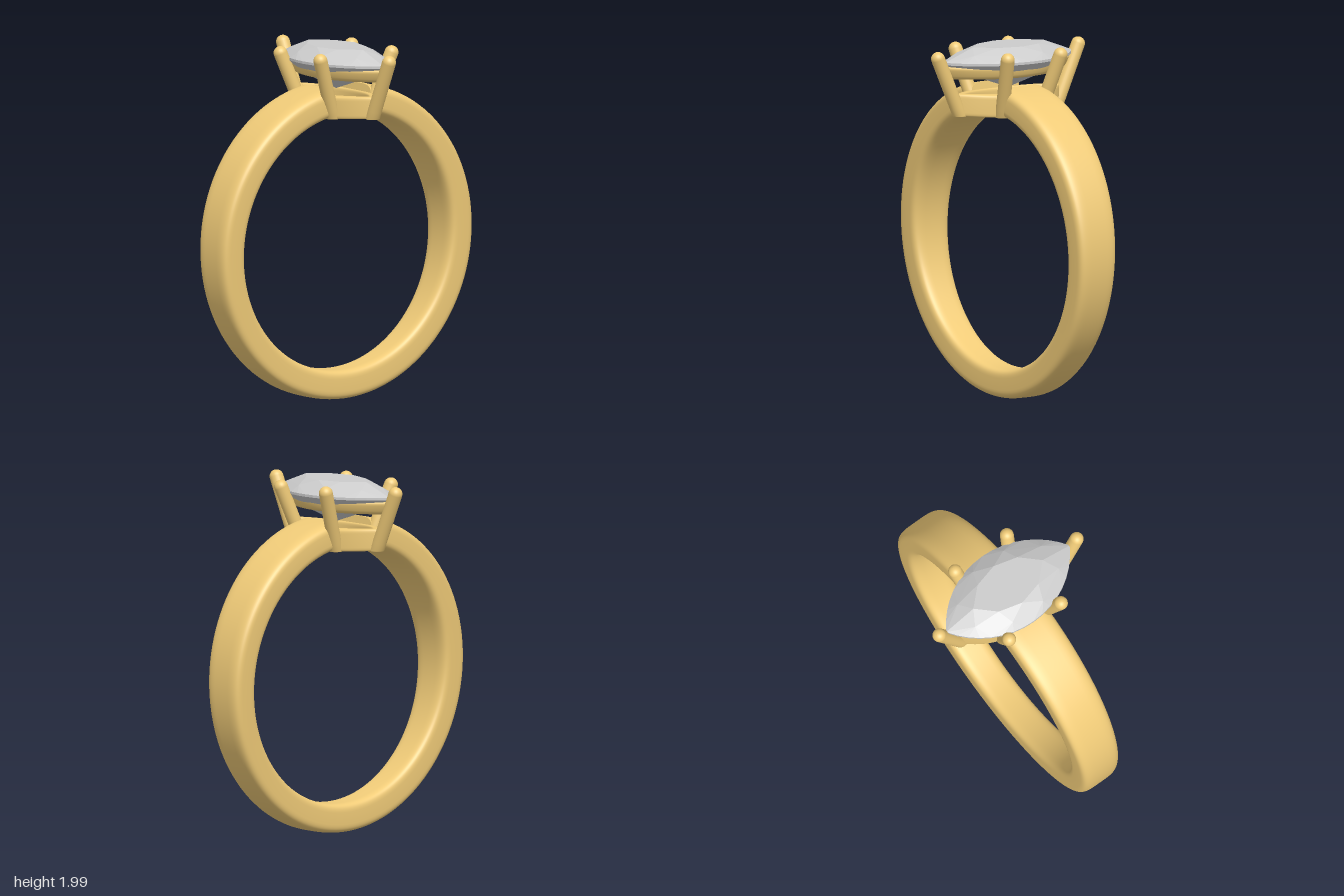
import * as THREE from 'three';
import { ConvexGeometry } from 'three/addons/geometries/ConvexGeometry.js';

const CY = 0.898;            // centre height of the finger hole
const R_IN = 0.725, R_OUT = 0.89;

// Point on a pointed-oval outline (half width a, half length b), t in 0..1
function marquise(a, b, t) {
  const R = (a * a + b * b) / (2 * a);
  const side = t < 0.5 ? 1 : -1;
  const u = side > 0 ? t * 4 - 1 : 3 - t * 4;
  const phi = u * Math.asin(b / R);
  return [side * (R * Math.cos(phi) - (R - a)), R * Math.sin(phi)];
}

// Rounded-rectangle profile (superellipse), each axis -1..1
function rounded(t, n) {
  const c = Math.cos(t * Math.PI * 2), s = Math.sin(t * Math.PI * 2);
  const p = (v) => Math.sign(v) * Math.pow(Math.abs(v), 2 / n);
  return [p(c), p(s)];
}

// Skin rows of m points; the profile always closes, the path only if asked
function skin(rows, m, closed) {
  const pos = rows.flat(2), idx = [], n = rows.length;
  for (let i = 0; i < (closed ? n : n - 1); i++) {
    for (let j = 0; j < m; j++) {
      const k = (i + 1) % n, l = (j + 1) % m;
      const a = i * m + j, b = k * m + j, c = k * m + l, d = i * m + l;
      idx.push(a, b, c, a, c, d);
    }
  }
  // Turn the faces outward
  let volume = 0;
  const P = (i) => new THREE.Vector3().fromArray(pos, i * 3);
  for (let i = 0; i < idx.length; i += 3) volume += P(idx[i]).dot(P(idx[i + 1]).cross(P(idx[i + 2])));
  if (volume < 0) idx.reverse();
  const g = new THREE.BufferGeometry();
  g.setAttribute('position', new THREE.Float32BufferAttribute(pos, 3));
  g.setIndex(idx);
  g.computeVertexNormals();
  return g;
}

// Band: tapered rounded section, open at the top where the head sits
function bandGeometry() {
  const steps = 120, m = 48, rows = [];
  const mid = (R_IN + R_OUT) / 2, half = (R_OUT - R_IN) / 2;
  const gap = Math.asin(0.12 / mid);
  const row = (f, scale) => {
    const ang = gap + f * (2 * Math.PI - 2 * gap);
    const w = 0.095 + 0.029 * (1 + Math.cos(ang));
    return Array.from({ length: m }, (_, j) => {
      const [p, q] = rounded(j / m, 4.5);
      const r = mid + half * p * scale;
      return [r * Math.sin(ang), CY + r * Math.cos(ang), w * q * scale];
    });
  };
  rows.push(row(0, 0), row(0, 1));
  for (let i = 0; i <= steps; i++) rows.push(row(i / steps, 1));
  rows.push(row(1, 1), row(1, 0));
  return skin(rows, m, false);
}

// Pointed-oval rail: place(p, q, t) gives the point for profile coords p, q
function railGeometry(power, place) {
  const n = 96, m = 24;
  const rows = Array.from({ length: n }, (_, i) =>
    Array.from({ length: m }, (_, j) => place(...rounded(j / m, power), i / n)));
  return skin(rows, m, true);
}

// Lower rail follows the curve of the finger hole
function lowerRail() {
  return railGeometry(6, (p, q, t) => {
    const [x, z] = marquise(0.13 + 0.027 * p, 0.325 + 0.03 * p, t);
    const r = 0.785 + 0.062 * q;
    return [x, CY + Math.sqrt(r * r - x * x), z];
  });
}

// Upper rail flares outward under the stone
function upperRail() {
  return railGeometry(3, (p, q, t) => {
    const [x, z] = marquise(0.158 + 0.03 * p + 0.012 * q, 0.375 + 0.03 * p + 0.022 * q, t);
    return [x, 1.867 + 0.037 * q, z];
  });
}

// Prong: round-tipped rod with its foot cut level
function prongGeometry(base, tip, r) {
  const axis = tip.clone().sub(base), L = axis.length(), dir = axis.normalize();
  const pts = [[0, 0], [r - 0.003, 0], [r, 0.003], [r, 0.06], [r, L]];
  for (let i = 1; i <= 8; i++) {
    const a = (i / 8) * Math.PI / 2;
    pts.push([i === 8 ? 0 : r * Math.cos(a), L + r * Math.sin(a)]);
  }
  const g = new THREE.LatheGeometry(pts.map((p) => new THREE.Vector2(...p)), 24);
  const foot = Array.from({ length: g.attributes.position.count }, (_, i) => g.attributes.position.getY(i));
  g.applyQuaternion(new THREE.Quaternion().setFromUnitVectors(new THREE.Vector3(0, 1, 0), dir));
  g.translate(base.x, base.y, base.z);
  const pos = g.attributes.position, v = new THREE.Vector3();
  foot.forEach((y, i) => {
    if (y > 0.01) return;
    v.fromBufferAttribute(pos, i);
    v.addScaledVector(dir, (base.y + y - v.y) / dir.y);
    pos.setXYZ(i, v.x, v.y, v.z);
  });
  return g;
}

// Stone: faceted hull of table, crown, girdle, pavilion and culet
function stoneGeometry() {
  const pts = [new THREE.Vector3(0, 1.755, 0)];
  const ring = (scale, y, count, shift) => {
    for (let i = 0; i < count; i++) {
      const [x, z] = marquise(0.24 * scale, 0.43 * scale, (i + shift) / count);
      pts.push(new THREE.Vector3(x, y, z));
    }
  };
  ring(0.56, 2.0, 8, 0);
  ring(0.83, 1.966, 8, 0.5);
  ring(1, 1.93, 32, 0);
  ring(1, 1.916, 32, 0);
  ring(0.6, 1.832, 8, 0.5);
  return new ConvexGeometry(pts);
}

export function createModel() {
  const gold = new THREE.MeshStandardMaterial({ color: 0xf0cb78 });
  const gem = new THREE.MeshStandardMaterial({ color: 0xcccccc, flatShading: true });
  const model = new THREE.Group();
  model.name = 'ring';
  const add = (name, geometry, material, parent = model) => {
    const mesh = new THREE.Mesh(geometry, material);
    mesh.name = name;
    parent.add(mesh);
  };

  add('band', bandGeometry(), gold);

  const head = new THREE.Group();
  head.name = 'head';
  model.add(head);
  add('lowerRail', lowerRail(), gold, head);
  add('upperRail', upperRail(), gold, head);

  // Two end prongs and four side prongs
  const V = (x, y, z) => new THREE.Vector3(x, y, z);
  for (const sz of [1, -1]) {
    const end = sz > 0 ? 'front' : 'back';
    add(end + 'Prong', prongGeometry(V(0, 1.62, sz * 0.328), V(0, 1.957, sz * 0.478), 0.039), gold, head);
    for (const sx of [1, -1]) {
      add(end + (sx > 0 ? 'Left' : 'Right') + 'Prong',
        prongGeometry(V(sx * 0.122, 1.61, sz * 0.128), V(sx * 0.252, 1.955, sz * 0.18), 0.039), gold, head);
    }
  }

  add('stone', stoneGeometry(), gem, head);
  return model;
}
